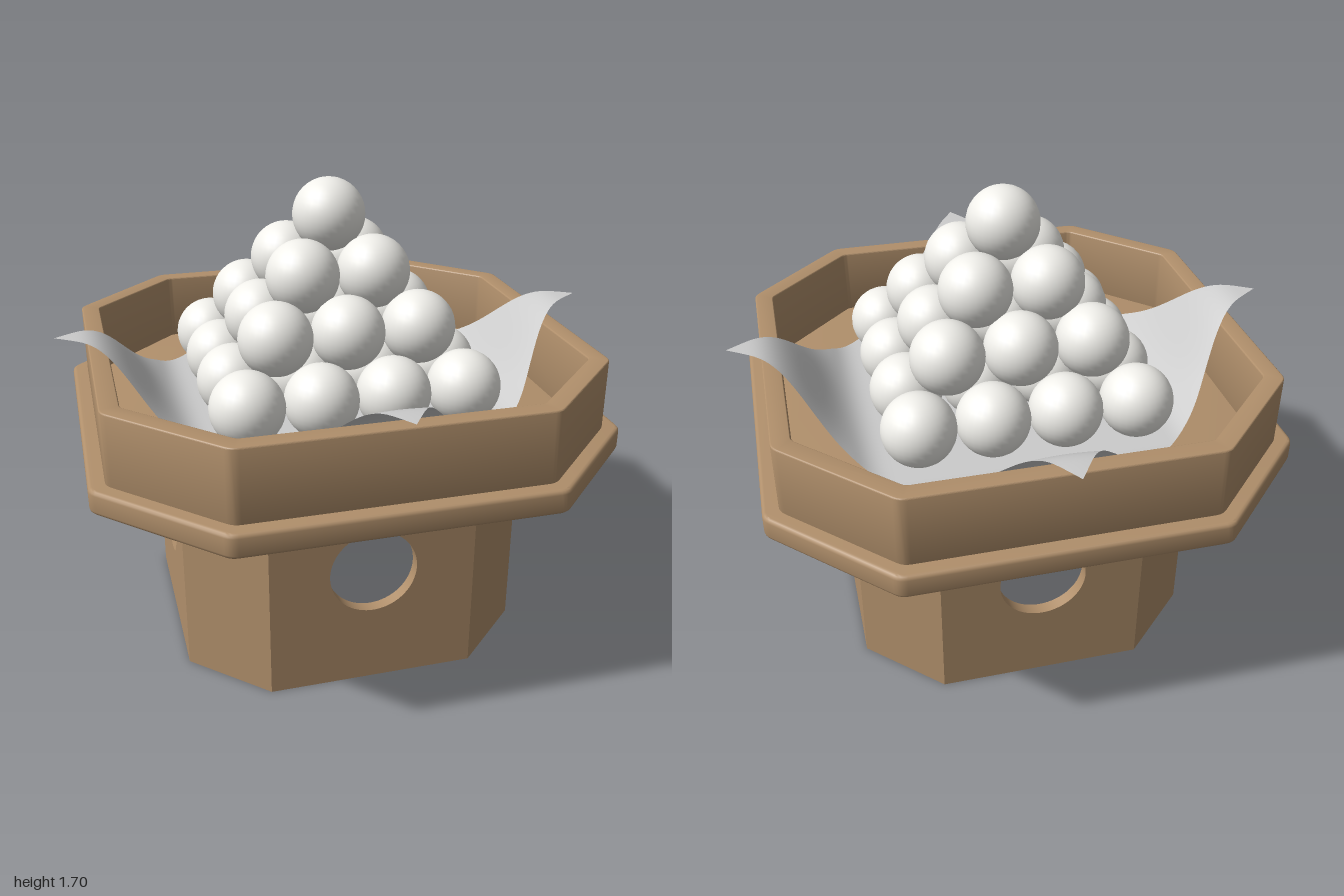
import * as THREE from 'three';
import { toCreasedNormals } from 'three/addons/utils/BufferGeometryUtils.js';

const wood = new THREE.MeshStandardMaterial({ color: 0xb08f6b });
const cream = new THREE.MeshStandardMaterial({ color: 0xf0efea });
const paper = new THREE.MeshStandardMaterial({ color: 0xcccccc, side: THREE.DoubleSide });

function addMesh(parent, name, geometry, material) {
  const mesh = new THREE.Mesh(geometry, material);
  mesh.name = name;
  parent.add(mesh);
  return mesh;
}

// Chamfered square, counter-clockwise: half widths w, d and half lengths cw, cd of the straight sides
const octagon = (w, d, cw, cd) => [
  [-cw, d], [-w, cd], [-w, -cd], [-cw, -d], [cw, -d], [w, -cd], [w, cd], [cw, d],
].map(([x, z]) => new THREE.Vector2(x, z));

// Traces a polygon with softly rounded corners
function roundedOutline(path, corners, radius) {
  const n = corners.length;
  corners.forEach((c, i) => {
    const toward = (p) => p.clone().sub(c).setLength(radius).add(c);
    const a = toward(corners[(i + n - 1) % n]);
    const b = toward(corners[(i + 1) % n]);
    if (i === 0) path.moveTo(a.x, a.y);
    else path.lineTo(a.x, a.y);
    path.quadraticCurveTo(c.x, c.y, b.x, b.y);
  });
  path.closePath();
  return path;
}

// Upright prism with softened edges and an optional opening
function prism(outer, inner, y0, y1, bevel) {
  const shape = roundedOutline(new THREE.Shape(), outer, 0.025);
  if (inner) shape.holes.push(roundedOutline(new THREE.Path(), inner.reverse(), 0.015));
  const geometry = new THREE.ExtrudeGeometry(shape, {
    depth: y1 - y0 - 2 * bevel, bevelThickness: bevel, bevelSize: bevel,
    bevelOffset: -bevel, bevelSegments: 3, curveSegments: 4,
  });
  geometry.rotateX(-Math.PI / 2).translate(0, y0 + bevel, 0);
  return toCreasedNormals(geometry, 0.6);
}

// Hollow stand: eight wall panels, the four wide ones pierced by round holes
function buildStand() {
  const stand = new THREE.Group();
  stand.name = 'stand';
  const height = 0.78, wall = 0.045;
  const corners = octagon(0.635, 0.62, 0.375, 0.37);
  corners.forEach((a, i) => {
    const b = corners[(i + 1) % 8];
    const half = a.distanceTo(b) / 2;
    const shape = new THREE.Shape([
      new THREE.Vector2(-half, 0), new THREE.Vector2(half, 0),
      new THREE.Vector2(half, height), new THREE.Vector2(-half, height),
    ]);
    const pierced = i % 2 === 1;
    if (pierced) {
      shape.holes.push(new THREE.Path().absarc(0, 0.445, 0.159, 0, Math.PI * 2, true));
    }
    const geometry = toCreasedNormals(
      new THREE.ExtrudeGeometry(shape, { depth: wall, bevelEnabled: false, curveSegments: 40 }), 0.5);
    const panel = addMesh(stand, pierced ? 'piercedPanel' : 'cornerPanel', geometry, wood);
    const normal = new THREE.Vector2(b.y - a.y, a.x - b.x).normalize();
    const mid = a.clone().add(b).multiplyScalar(0.5);
    panel.position.set(mid.x - normal.x * wall, 0, mid.y - normal.y * wall);
    panel.rotation.y = Math.atan2(normal.x, normal.y);
  });
  return stand;
}

// Square sheet laid cornerwise, its corners climbing the rim and curling outward
function clothGeometry() {
  const { smoothstep, smootherstep } = THREE.MathUtils;
  const geometry = new THREE.PlaneGeometry(2, 2, 64, 64).rotateX(-Math.PI / 2);
  const pos = geometry.attributes.position;
  for (let i = 0; i < pos.count; i++) {
    let x = (pos.getX(i) + pos.getZ(i)) / 2;
    let z = (pos.getZ(i) - pos.getX(i)) / 2;
    const alongX = Math.abs(x) > Math.abs(z);
    const d = Math.abs(alongX ? x : z);
    // Corners taper to a point and their side edges droop a little
    const taper = 1 - 0.35 * smoothstep(d, 0.6, 0.9);
    if (alongX) z *= taper;
    else x *= taper;
    const across = alongX ? z : x;
    const droop = 0.5 * across * across * smoothstep(d, 0.6, 0.8);
    pos.setXYZ(i, x, 0.88 + 0.308 * smootherstep(d, 0.49, 0.94) - droop, z);
  }
  geometry.computeVertexNormals();
  return geometry;
}

// Pyramid of balls, four by four at the bottom
function buildPile() {
  const pile = new THREE.Group();
  pile.name = 'dumplingPile';
  const ball = new THREE.SphereGeometry(0.132, 32, 20);
  const levels = [1.02, 1.21, 1.386, 1.57];
  levels.forEach((y, level) => {
    const n = 4 - level;
    for (let i = 0; i < n; i++) {
      for (let j = 0; j < n; j++) {
        addMesh(pile, 'dumpling', ball, cream)
          .position.set((i - (n - 1) / 2) * 0.26, y, (j - (n - 1) / 2) * 0.264);
      }
    }
  });
  return pile;
}

export function createModel() {
  const model = new THREE.Group();
  model.name = 'offeringStand';
  model.add(buildStand());

  // Tray: wide base plate with a raised rim
  const square = (w, c) => octagon(w, w, c, c);
  addMesh(model, 'trayPlate', prism(square(0.942, 0.55), null, 0.776, 0.862, 0.014), wood);
  addMesh(model, 'trayRim', prism(square(0.885, 0.53), square(0.817, 0.5), 0.85, 1.12, 0.005), wood);

  addMesh(model, 'paperSheet', clothGeometry(), paper);
  model.add(buildPile());
  return model;
}
